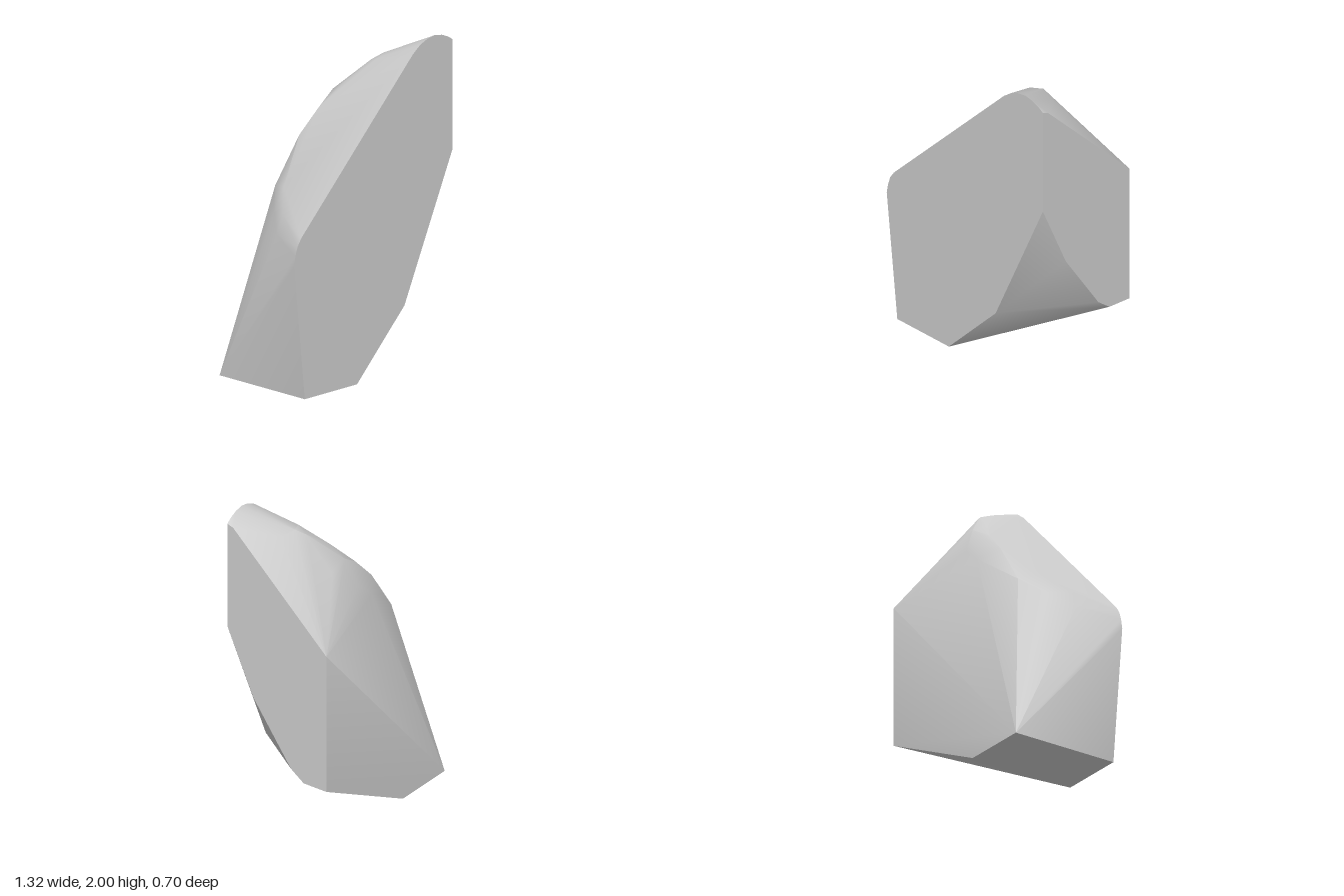
import * as THREE from 'three';
import { ConvexGeometry } from 'three/addons/geometries/ConvexGeometry.js';
import { toCreasedNormals } from 'three/addons/utils/BufferGeometryUtils.js';

const D = 0.352; // half depth
const R = 0.659; // half width

export function createModel() {
  const group = new THREE.Group();
  group.name = 'rock';
  const stone = new THREE.MeshStandardMaterial({ color: 0xc9c9c9 });
  stone.name = 'grey stone';

  // flat front face: outline with two rounded upper corners (x, y)
  const front = [
    [-0.57, 0], [-0.135, 0], [0.26, 0.4], [R, 1.27], [R, 1.945],
    [0.62, 1.97], [0.57, 1.99], [0.51, 2], [0.45, 1.99], [0.39, 1.965], [0.33, 1.92],
    [-0.6, 0.99], [-0.63, 0.945], [-0.648, 0.89], [-R, 0.83],
  ].map(([x, y]) => [x, y, D]);

  // flat back face (x, y)
  const back = [[-0.57, 0], [-0.135, 0], [R, 0.38], [R, 1.27]].map(([x, y]) => [x, y, -D]);

  // flat right side: lower curved edge and softened top edge (y, z)
  const side = [[0.85, 0.165], [0.46, -0.1], [0.39, -0.19], [1.928, 0.31]].map(([y, z]) => [R, y, z]);

  // edge of the sloping top facet (x, z), placed on its plane
  const facet = [
    [0.29, 0.1], [0.16, -0.04], [0.02, -0.12], [-0.12, -0.14], [-0.37, -0.02], [-0.5, 0.1],
  ].map(([x, z]) => [x, 1.59 + x + 0.1 * (z - D), z]);

  // rounded ridge around that facet: middle ring, then outer ring
  const ridge = [
    [0.37, 1.865, 0.07], [0.32, 1.825, 0.02], [0.16, 1.645, -0.14], [-0.31, 1.15, -0.15],
    [0.47, 1.85, 0.1], [0.3, 1.61, -0.15], [0.12, 1.47, -0.215],
    [0, 1.375, -0.225], [-0.44, 1.04, -0.03], [-0.55, 0.95, 0.1],
  ];

  const points = [...front, ...back, ...side, ...facet, ...ridge].map((p) => new THREE.Vector3(...p));
  const boulder = new THREE.Mesh(toCreasedNormals(new ConvexGeometry(points), 0.58), stone);
  boulder.name = 'boulder';
  group.add(boulder);
  return group;
}
